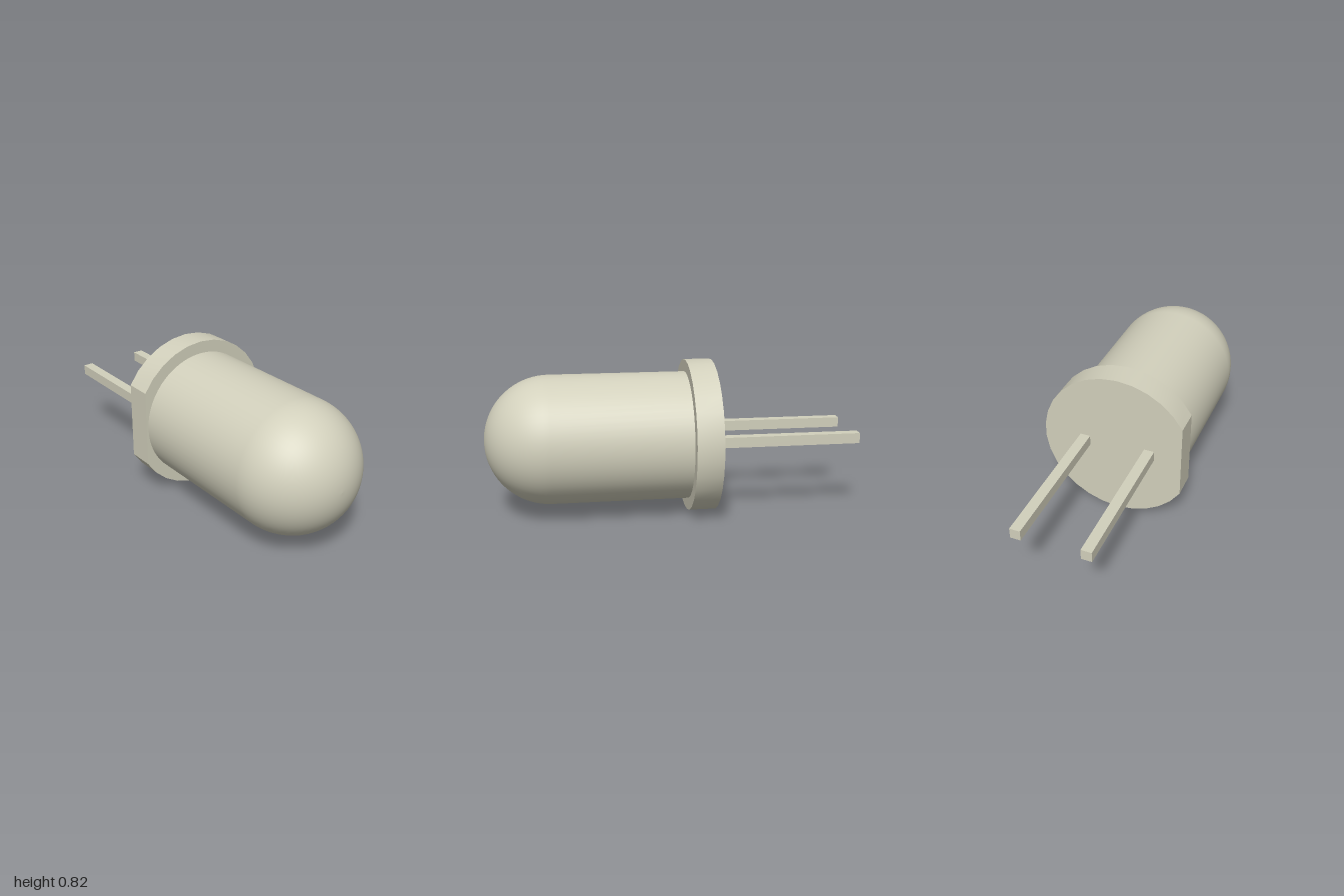
import * as THREE from 'three';
import { toCreasedNormals } from 'three/addons/utils/BufferGeometryUtils.js';

const CX = -0.0265, CY = 0.413;   // axis of the bulb
const BODY_R = 0.346, RIM_R = 0.412;
const RIM_BACK = -0.22, RIM_FRONT = -0.079;

export function createModel() {
  const group = new THREE.Group();
  const resin = new THREE.MeshStandardMaterial({ color: 0xd2d0bc });
  resin.name = 'paleResin';

  const add = (name, geometry, x, y, z) => {
    const mesh = new THREE.Mesh(geometry, resin);
    mesh.name = name;
    mesh.position.set(x, y, z);
    group.add(mesh);
  };

  // Bulb: straight cylinder ending in a hemispherical dome, turned to face +z
  const domeStart = 1 - BODY_R;
  const profile = [new THREE.Vector2(BODY_R, RIM_FRONT)];
  const steps = 20;
  for (let i = 0; i <= steps; i++) {
    const a = (i / steps) * Math.PI / 2;
    profile.push(new THREE.Vector2(
      i === steps ? 0 : BODY_R * Math.cos(a),
      domeStart + BODY_R * Math.sin(a)));
  }
  add('bulb', new THREE.LatheGeometry(profile, 60).rotateX(Math.PI / 2), CX, CY, 0);

  // Rim: 30-sided disc with a flat cut on the -x side
  const outline = [];
  for (let deg = -150; deg <= 150; deg += 12) {
    const a = THREE.MathUtils.degToRad(deg);
    outline.push(new THREE.Vector2(RIM_R * Math.cos(a), RIM_R * Math.sin(a)));
  }
  const rim = new THREE.ExtrudeGeometry(new THREE.Shape(outline), {
    depth: RIM_FRONT - RIM_BACK, bevelEnabled: false,
  });
  add('rim', toCreasedNormals(rim, 0.4), CX, CY, RIM_BACK);

  // Two square leads out of the back
  const leadLength = 1 + RIM_BACK;
  for (const [name, side] of [['rightLead', -1], ['leftLead', 1]]) {
    add(name, new THREE.BoxGeometry(0.055, 0.056, leadLength),
      CX - 0.002 + side * 0.18, CY, RIM_BACK - leadLength / 2);
  }

  return group;
}
